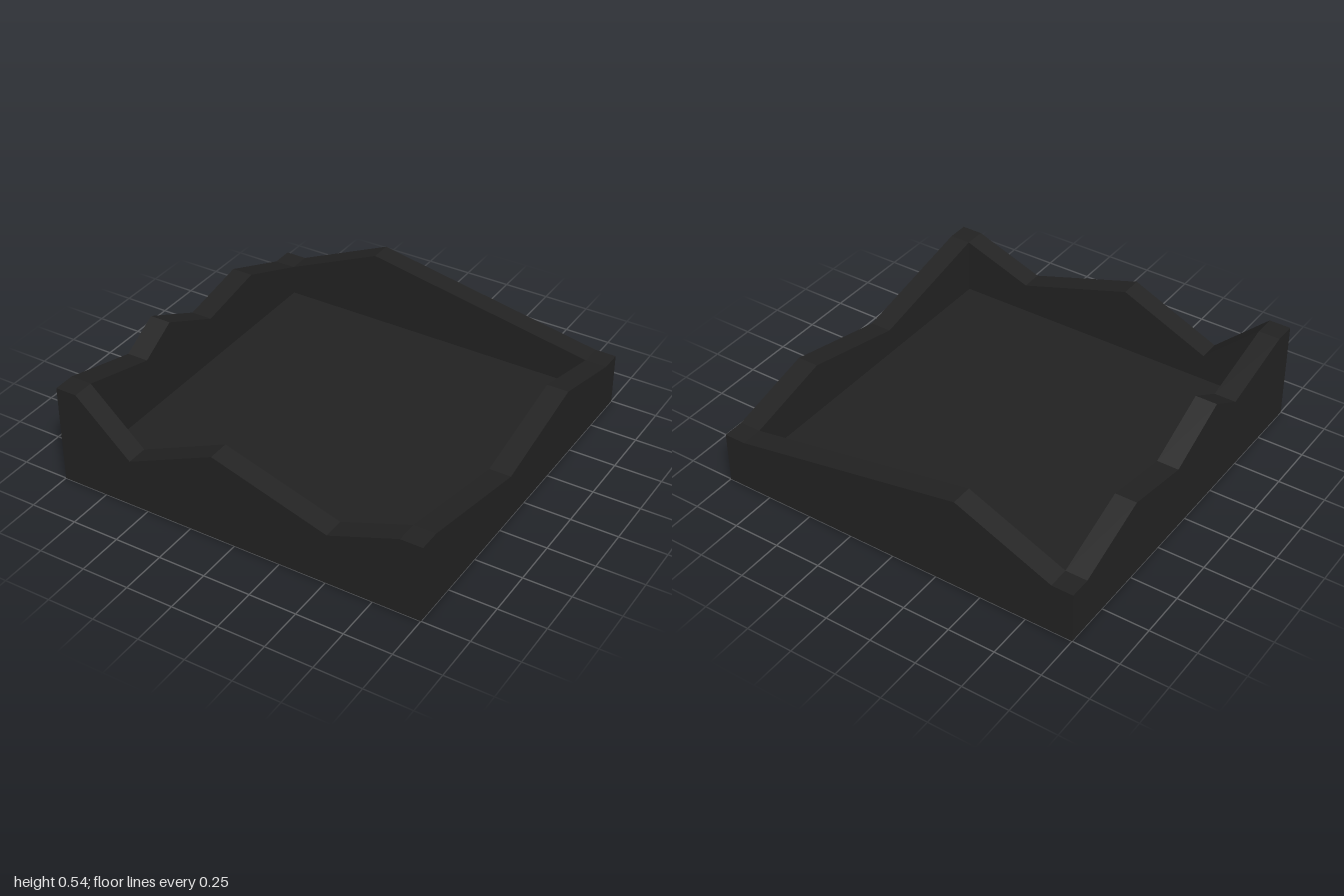
import * as THREE from 'three';

const T = 0.115;      // wall and floor thickness
const I = 1 - T;      // half width of the inside

// Corner heights shared by neighbouring walls
const FL = 0.535, FR = 0.42, BACK = 0.28;

// Solid wall: a jagged top line over a straight base, extruded by the wall thickness
function wallGeometry(top) {
  const first = top[0][0], last = top[top.length - 1][0];
  const outline = [[first, 0], [last, 0], ...top.slice().reverse()];
  const shape = new THREE.Shape(outline.map(([u, y]) => new THREE.Vector2(u, y)));
  return new THREE.ExtrudeGeometry(shape, { depth: T, bevelEnabled: false });
}

export function createModel() {
  const group = new THREE.Group();
  const material = new THREE.MeshStandardMaterial({ color: 0x222222 });

  const add = (name, geometry, x, y, z) => {
    const mesh = new THREE.Mesh(geometry, material);
    mesh.name = name;
    mesh.position.set(x, y, z);
    group.add(mesh);
  };

  // Floor slab inside the walls
  add('floor', new THREE.BoxGeometry(2 * I, T, 2 * I), 0, T / 2, 0);

  // Front and back walls run the full width, with level corners
  add('frontWall', wallGeometry([
    [-1, FL], [-I, FL], [-0.59, 0.26], [-0.11, 0.475], [0.51, 0.28], [I, FR], [1, FR],
  ]), 0, 0, I);
  add('backWall', wallGeometry([
    [-1, BACK], [-I, BACK], [-0.365, 0.51], [I, BACK], [1, BACK],
  ]), 0, 0, -1);

  // Side walls fit between them; their profiles run along z
  add('leftWall', wallGeometry([
    [-I, BACK], [-0.43, 0.395], [0.16, 0.26], [I, FR],
  ]).rotateY(-Math.PI / 2), 1, 0, 0);
  add('rightWall', wallGeometry([
    [-I, BACK], [-0.475, 0.44], [-0.095, 0.37], [0.25, 0.535], [0.45, 0.42], [I, FL],
  ]).rotateY(-Math.PI / 2), -I, 0, 0);

  return group;
}
